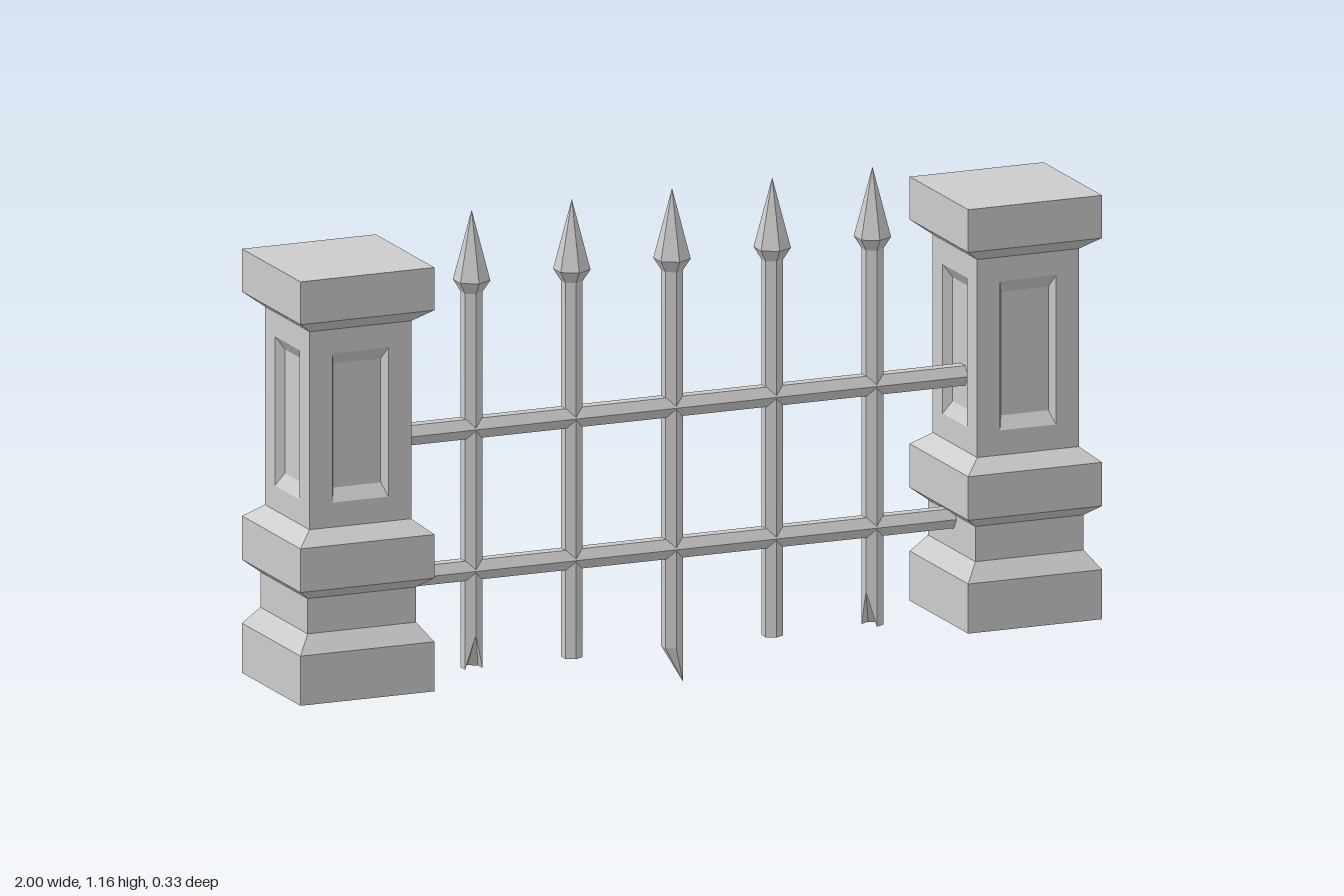
import * as THREE from 'three';

const mat = new THREE.MeshStandardMaterial({ color: 0xcccccc, flatShading: true });

function mesh(name, geometry) {
  const m = new THREE.Mesh(geometry, mat);
  m.name = name;
  return m;
}

// Turned profile of [radius, y] points, bottom to top
function turned(points, sides) {
  return new THREE.LatheGeometry(points.map(([r, y]) => new THREE.Vector2(r, y)), sides);
}

// Square moulding from [halfWidth, y] points
function squareMoulding(points) {
  return turned(points.map(([w, y]) => [w * Math.SQRT2, y]), 4).rotateY(Math.PI / 4);
}

// One pillar face with a bevelled sunken panel, from nested rectangles
function panelFace() {
  const rings = [
    [0.127, 0.485, 0.952, 0.127],
    [0.07, 0.543, 0.895, 0.127],
    [0.059, 0.573, 0.865, 0.107],
  ].map(([w, y0, y1, z]) => [[-w, y0, z], [w, y0, z], [w, y1, z], [-w, y1, z]]);
  const pos = [];
  const quad = (a, b, c, d) => pos.push(...a, ...b, ...c, ...a, ...c, ...d);
  for (let r = 0; r < 2; r++) {
    for (let i = 0; i < 4; i++) {
      const j = (i + 1) % 4;
      quad(rings[r][i], rings[r][j], rings[r + 1][j], rings[r + 1][i]);
    }
  }
  quad(...rings[2]);
  const g = new THREE.BufferGeometry();
  g.setAttribute('position', new THREE.Float32BufferAttribute(pos, 3));
  g.computeVertexNormals();
  return g;
}

function createPillar() {
  const pillar = new THREE.Group();
  pillar.add(mesh('pillarBase', squareMoulding([
    [0, 0.083], [0.167, 0.083], [0.167, 0.2], [0.135, 0.242], [0.135, 0.325],
    [0.167, 0.35], [0.167, 0.453], [0.127, 0.485],
  ])));
  pillar.add(mesh('pillarCap', squareMoulding([
    [0.127, 0.952], [0.167, 0.982], [0.167, 1.083], [0, 1.083],
  ])));
  for (let i = 0; i < 4; i++) {
    const face = mesh('pillarPanel', panelFace());
    face.rotation.y = i * Math.PI / 2;
    pillar.add(face);
  }
  return pillar;
}

// Hexagonal shaft; a broken foot moves one bottom corner to another height
function shaftGeometry(broken) {
  const r = 0.025, bottom = 0.083, top = 0.975;
  const g = new THREE.CylinderGeometry(r, r, top - bottom, 6, 1);
  g.translate(0, (top + bottom) / 2, 0);
  if (broken) {
    const x = r * Math.sin(broken.angle), z = r * Math.cos(broken.angle);
    const p = g.attributes.position;
    for (let i = 0; i < p.count; i++) {
      if (p.getY(i) > 0.5) continue;
      const atCorner = Math.hypot(p.getX(i) - x, p.getZ(i) - z) < 1e-4;
      const atCentre = Math.hypot(p.getX(i), p.getZ(i)) < 1e-4;
      if (atCorner || atCentre) p.setXYZ(i, x, broken.y, z);
    }
    g.computeVertexNormals();
  }
  return g;
}

export function createModel() {
  const model = new THREE.Group();
  model.name = 'fence';

  // Stone pillars
  for (const side of [1, -1]) {
    const pillar = createPillar();
    pillar.name = side > 0 ? 'leftPillar' : 'rightPillar';
    pillar.position.x = side * 0.833;
    model.add(pillar);
  }

  // Horizontal rails, a corner facing front and back
  for (const [name, y] of [['upperRail', 0.65], ['lowerRail', 0.316]]) {
    const g = new THREE.CylinderGeometry(0.027, 0.027, 1.48, 6).rotateZ(Math.PI / 2);
    const rail = mesh(name, g);
    rail.position.y = y;
    model.add(rail);
  }

  // Pointed bars, three of them with broken feet
  const feet = [
    { angle: 0, y: 0.165 }, null, { angle: Math.PI / 3, y: 0 }, null,
    { angle: -Math.PI / 3, y: 0.165 },
  ];
  feet.forEach((broken, i) => {
    const bar = new THREE.Group();
    bar.name = 'bar' + (i + 1);
    bar.add(mesh('barShaft', shaftGeometry(broken)));
    bar.add(mesh('spearHead', turned([[0.025, 0.97], [0.043, 0.998], [0, 1.163]], 6)));
    bar.position.x = (i - 2) * 0.25;
    model.add(bar);
  });

  return model;
}
